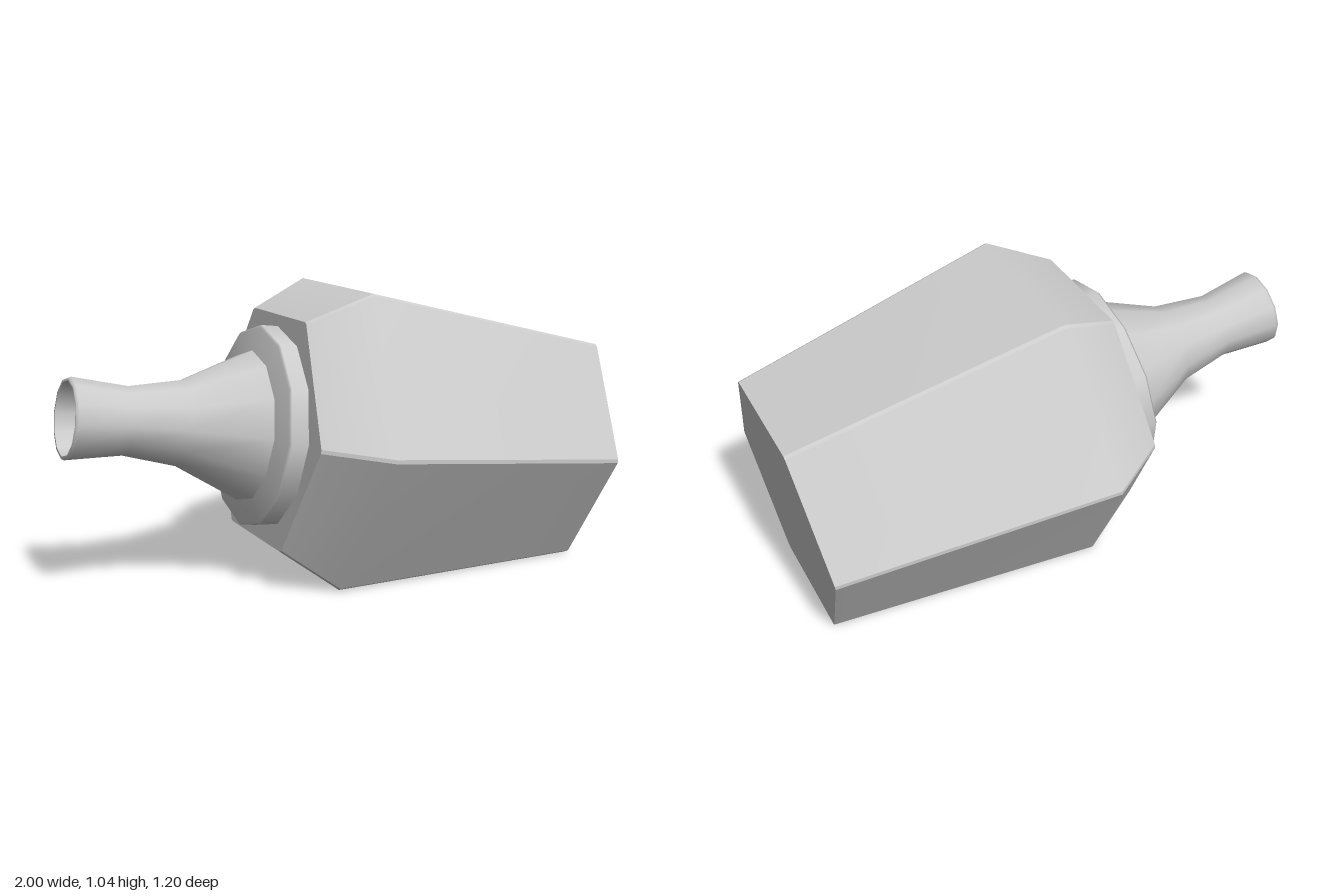
import * as THREE from 'three';
import { mergeGeometries } from 'three/addons/utils/BufferGeometryUtils.js';

const material = new THREE.MeshStandardMaterial({ color: 0xcccccc, side: THREE.DoubleSide });

// Hexagon ring at height s along the axis, each corner cut by a tiny chamfer
function hexRing(radius, s, cut = 0.008) {
  const corner = k => {
    const a = Math.PI / 6 + k * Math.PI / 3;
    return new THREE.Vector3(Math.cos(a) * radius, s, Math.sin(a) * radius);
  };
  const points = [];
  for (let k = 0; k < 6; k++) {
    const c = corner(k);
    points.push(c.clone().lerp(corner(k - 1), cut / radius));
    points.push(c.clone().lerp(corner(k + 1), cut / radius));
  }
  return points;
}

function surface(points, index) {
  const g = new THREE.BufferGeometry().setFromPoints(points);
  g.setIndex(index);
  g.computeVertexNormals();
  return g;
}

// Long panels, smooth along their length and sharp against their neighbours
function hexBody(profile) {
  const rings = profile.map(([r, s]) => hexRing(r, s));
  const parts = [];
  const n = rings[0].length;
  for (let i = 0; i < n; i++) {
    const points = [];
    const index = [];
    rings.forEach((ring, j) => {
      points.push(ring[i], ring[(i + 1) % n]);
      if (j > 0) {
        const a = 2 * (j - 1);
        index.push(a, a + 2, a + 3, a, a + 3, a + 1);
      }
    });
    parts.push(surface(points, index));
  }
  // Flat ends
  [rings[0], rings[rings.length - 1]].forEach((ring, end) => {
    const index = [];
    for (let i = 0; i < n; i++) {
      const next = (i + 1) % n;
      index.push(n, end ? next : i, end ? i : next);
    }
    parts.push(surface([...ring, new THREE.Vector3(0, ring[0].y, 0)], index));
  });
  return mergeGeometries(parts);
}

const lathe = profile =>
  new THREE.LatheGeometry(profile.map(([r, s]) => new THREE.Vector2(r, s)), 12);

export function createModel() {
  const model = new THREE.Group();
  model.name = 'hexagonalBottle';

  // Upright bottle, base at the origin, then laid down on one flat side
  const bottle = new THREE.Group();
  bottle.name = 'bottle';
  bottle.position.set(0.95, 0.403, 0);
  bottle.rotation.z = Math.PI / 2 - 0.1244;
  model.add(bottle);

  const add = (name, geometry) => {
    const mesh = new THREE.Mesh(geometry, material);
    mesh.name = name;
    bottle.add(mesh);
  };

  add('body', hexBody([[0.465, 0], [0.604, 0.997], [0.465, 1.209]]));

  // Collar: straight wall and sloping shoulder
  add('collar', mergeGeometries([
    lathe([[0.362, 1.205], [0.362, 1.272]]),
    lathe([[0.362, 1.272], [0.355, 1.279], [0.27, 1.296]]),
  ]));

  // Flared neck, lip and hollow inside
  add('neck', lathe([[0.27, 1.296], [0.153, 1.542], [0.121, 1.739], [0.143, 1.94]]));
  add('lip', lathe([[0.143, 1.94], [0.139, 1.949], [0.13, 1.949]]));
  add('neckInside', lathe([[0.13, 1.949], [0.108, 1.739], [0.14, 1.542], [0.25, 1.305], [0, 1.3]]));

  return model;
}
